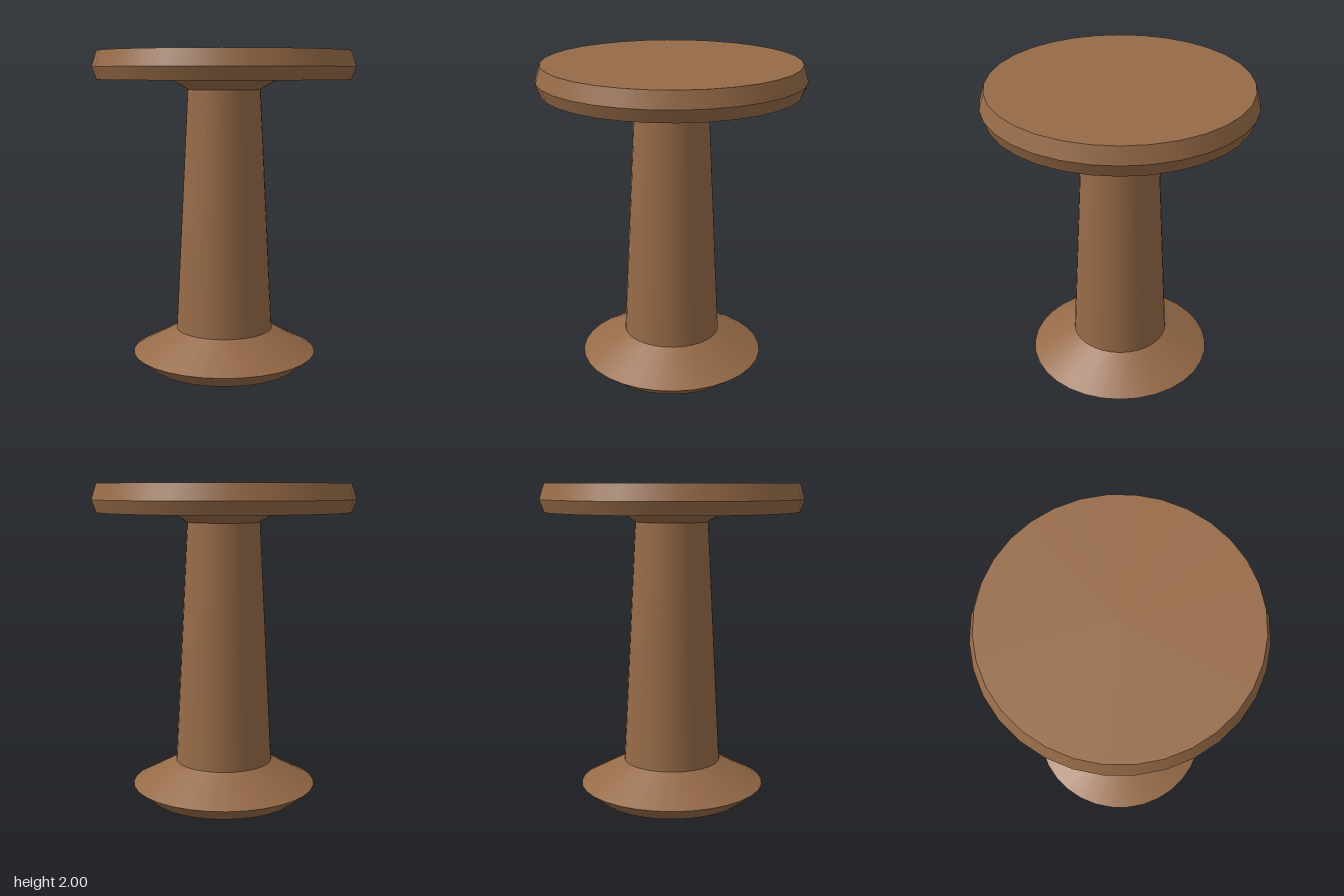
import * as THREE from 'three';

const SIDES = 32;

export function createModel() {
  const group = new THREE.Group();
  group.name = 'pedestalStool';
  const wood = new THREE.MeshStandardMaterial({ color: 0x966a47 });
  wood.name = 'brown wood';

  // one tapered round section, smooth around and sharp at its rims
  function section(name, y0, r0, y1, r1) {
    const geo = new THREE.CylinderGeometry(r1, r0, y1 - y0, SIDES, 1, true);
    const mesh = new THREE.Mesh(geo, wood);
    mesh.name = name;
    mesh.position.y = (y0 + y1) / 2;
    group.add(mesh);
  }

  // flat disc or ring facing up (dir 1) or down (dir -1)
  function flat(name, y, inner, outer, dir) {
    const geo = inner > 0
      ? new THREE.RingGeometry(inner, outer, SIDES)
      : new THREE.CircleGeometry(outer, SIDES);
    geo.rotateX(-dir * Math.PI / 2);
    const mesh = new THREE.Mesh(geo, wood);
    mesh.name = name;
    mesh.position.y = y;
    group.add(mesh);
  }

  // foot
  flat('footBottom', 0, 0, 0.475, -1);
  section('footLowerBevel', 0, 0.475, 0.09, 0.585);
  section('footUpperSlope', 0.09, 0.585, 0.24, 0.307);

  // column and its flared collar
  section('column', 0.24, 0.307, 1.763, 0.228);
  section('collar', 1.763, 0.228, 1.825, 0.335);

  // seat
  flat('seatUnderside', 1.825, 0.335, 0.787, -1);
  section('seatLowerBevel', 1.825, 0.787, 1.902, 0.816);
  section('seatUpperBevel', 1.902, 0.816, 2, 0.785);
  flat('seatTop', 2, 0, 0.785, 1);

  return group;
}
